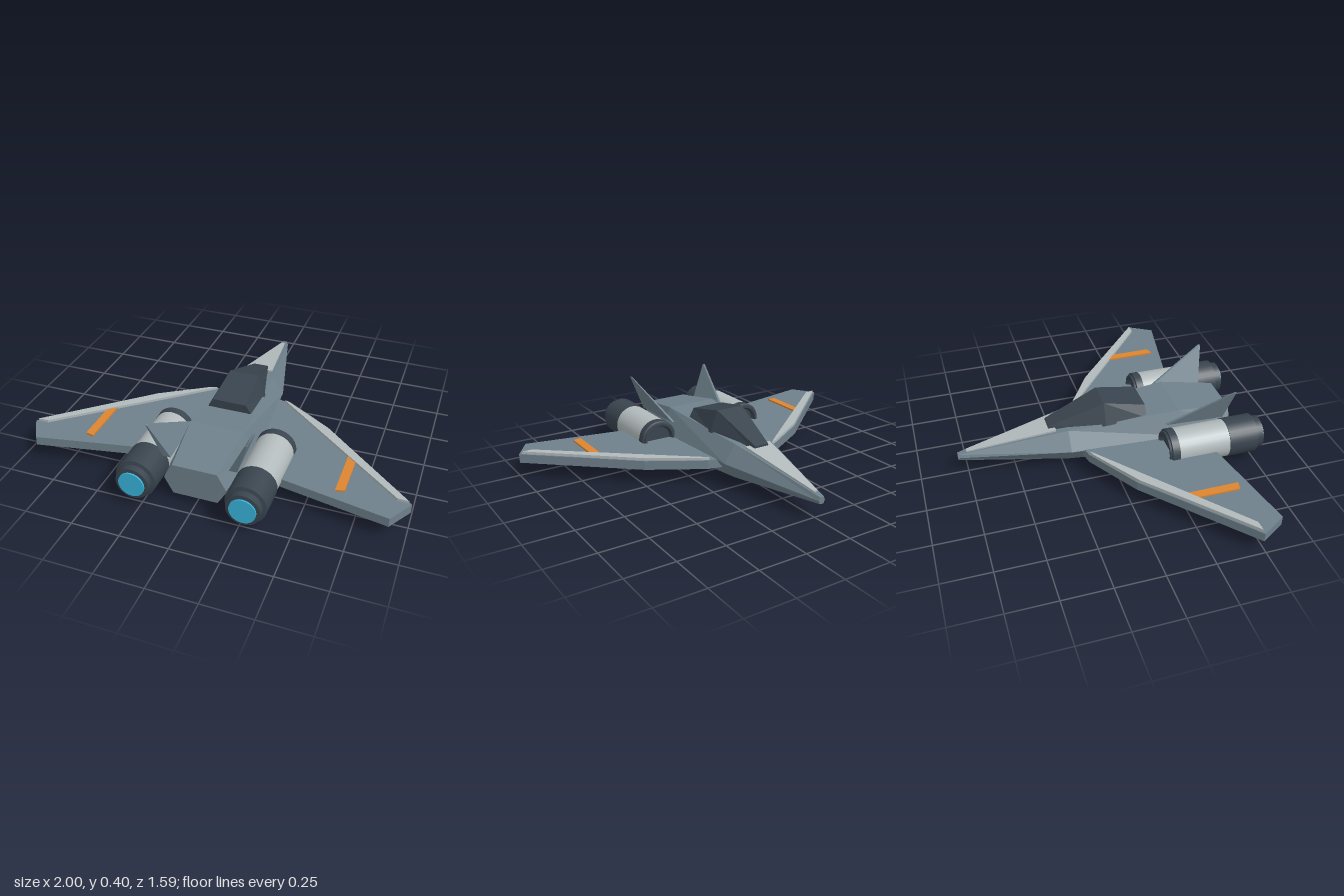
import * as THREE from 'three';
import { ConvexGeometry } from 'three/addons/geometries/ConvexGeometry.js';

const paint = (color, flatShading = true) =>
  new THREE.MeshStandardMaterial({ color, flatShading });
const HULL = paint(0x6e808b), LIGHT = paint(0xb2babb), DARK = paint(0x39444e);
const ORANGE = paint(0xdd8530), GLOW = paint(0x38b6dd);
const LIGHT_ROUND = paint(0xb2babb, false), DARK_ROUND = paint(0x39444e, false);

function add(parent, name, geometry, material) {
  const mesh = new THREE.Mesh(geometry, material);
  mesh.name = name;
  parent.add(mesh);
  return mesh;
}

// Skin over rings of [x, y, z] points, counter-clockwise seen from +z, z rising
function loft(rings) {
  const out = [], n = rings[0].length;
  const tri = (a, b, c) => out.push(...a, ...b, ...c);
  for (let r = 0; r < rings.length - 1; r++) {
    for (let i = 0; i < n; i++) {
      const j = (i + 1) % n, a = rings[r], b = rings[r + 1];
      tri(a[i], a[j], b[j]);
      tri(a[i], b[j], b[i]);
    }
  }
  const first = rings[0], last = rings[rings.length - 1];
  for (let i = 1; i < n - 1; i++) {
    tri(first[0], first[i + 1], first[i]);
    tri(last[0], last[i], last[i + 1]);
  }
  const g = new THREE.BufferGeometry();
  g.setAttribute('position', new THREE.Float32BufferAttribute(out, 3));
  g.computeVertexNormals();
  return g;
}

// Flat plate with an [x, z] outline, between two heights
function plate(points, y0, y1, side) {
  const shape = new THREE.Shape(points.map(([x, z]) => new THREE.Vector2(x * side, z)));
  return new THREE.ExtrudeGeometry(shape, { depth: y1 - y0, bevelEnabled: false })
    .rotateX(Math.PI / 2).translate(0, y1, 0);
}

// Surface of revolution along z from [radius, z] points, with crisp rims
function turned(profile) {
  const pts = [];
  profile.forEach(([r, z], i) => {
    const p = new THREE.Vector2(r, z);
    pts.push(p);
    if (i > 0 && i < profile.length - 1) pts.push(new THREE.Vector2(r, z));
  });
  const segments = [];
  for (let i = 0; i < pts.length - 1; i += 2) segments.push([pts[i], pts[i + 1]]);
  return segments.map((s) => new THREE.LatheGeometry(s, 28).rotateX(Math.PI / 2));
}

function addTurned(parent, name, profile, material) {
  const group = new THREE.Group();
  group.name = name;
  turned(profile).forEach((g) => add(group, name + 'Surface', g, material));
  parent.add(group);
}

function makeEngine(side) {
  const engine = new THREE.Group();
  engine.name = 'engine';
  engine.position.set(0.28 * side, 0.133, 0);
  addTurned(engine, 'intake',
    [[0, 0.275], [0.07, 0.275], [0.08, 0.252], [0.092, 0.252], [0.095, 0.262], [0.103, 0.265], [0.103, 0.305], [0.09, 0.305]], DARK_ROUND);
  addTurned(engine, 'engineBody', [[0.08, 0.303], [0.101, 0.303], [0.101, 0.587], [0.08, 0.587]], LIGHT_ROUND);
  addTurned(engine, 'engineRear',
    [[0.08, 0.585], [0.104, 0.585], [0.104, 0.745], [0.086, 0.75], [0.086, 0.785], [0.066, 0.787]], DARK_ROUND);
  addTurned(engine, 'exhaustGlow', [[0.067, 0.78], [0.067, 0.795], [0, 0.795]], GLOW);
  return engine;
}

function makeWing(side) {
  const wing = new THREE.Group();
  wing.name = 'wing';
  add(wing, 'wingPanel', plate(
    [[0.12, -0.16], [0.21, -0.14], [0.49, 0.03], [1, 0.48], [0.92, 0.61], [0.12, 0.555]].map(
      ([x, z]) => (x === 0.12 && z > 0 ? [x, 0.46] : [x, z])), 0.08, 0.128, side), HULL);
  add(wing, 'leadingEdge', plate(
    [[0.2, -0.135], [0.235, -0.122], [0.49, 0.04], [0.985, 0.477], [0.93, 0.475], [0.23, -0.108]], 0.126, 0.142, side), LIGHT);
  add(wing, 'wingStripe', plate(
    [[0.642, 0.235], [0.687, 0.273], [0.687, 0.497], [0.642, 0.507]], 0.126, 0.137, side), ORANGE);
  return wing;
}

// Outward-leaning fin: broad base, narrow tip
function makeFin(side) {
  const points = [
    [0.16, 0.2, 0.3], [0.175, 0.2, 0.3], [0.15, 0.2, 0.615], [0.192, 0.2, 0.615],
    [0.243, 0.39, 0.64], [0.252, 0.395, 0.64], [0.243, 0.39, 0.652], [0.254, 0.395, 0.652],
  ];
  return new ConvexGeometry(points.map(([x, y, z]) => new THREE.Vector3(x * side, y, z)));
}

export function createModel() {
  const model = new THREE.Group();
  model.name = 'spacecraft';

  // Six-sided fuselage: z, half width, flat half width, bottom, waist, top
  const hull = [
    [-0.797, 0.018, 0.011, 0.09, 0.108, 0.125],
    [-0.22, 0.163, 0.1, 0.036, 0.125, 0.222],
    [0.38, 0.198, 0.143, 0, 0.13, 0.26],
    [0.68, 0.16, 0.115, 0.042, 0.128, 0.212],
  ].map(([z, w, f, b, m, t]) =>
    [[f, b, z], [w, m, z], [f, t, z], [-f, t, z], [-w, m, z], [-f, b, z]]);
  add(model, 'fuselage', loft(hull), HULL);

  // Thin light panel on top of the nose
  const nose = [[-0.75, 0.011, 0.135], [-0.28, 0.076, 0.217]].map(([z, w, y]) =>
    [[w, y - 0.02, z], [w, y + 0.005, z], [-w, y + 0.005, z], [-w, y - 0.02, z]]);
  add(model, 'nosePanel', loft(nose), LIGHT);

  // Faceted canopy: z, base half width, top half width, base, top
  const canopy = [
    [-0.315, 0.046, 0.04, 0.2, 0.227],
    [-0.02, 0.122, 0.078, 0.225, 0.342],
    [0.205, 0.125, 0.09, 0.235, 0.296],
  ].map(([z, w, f, b, t]) => [[w, b, z], [f, t, z], [-f, t, z], [-w, b, z]]);
  add(model, 'canopy', loft(canopy), DARK);

  for (const side of [1, -1]) {
    model.add(makeWing(side), makeEngine(side));
    add(model, 'tailFin', makeFin(side), HULL);
  }
  return model;
}
